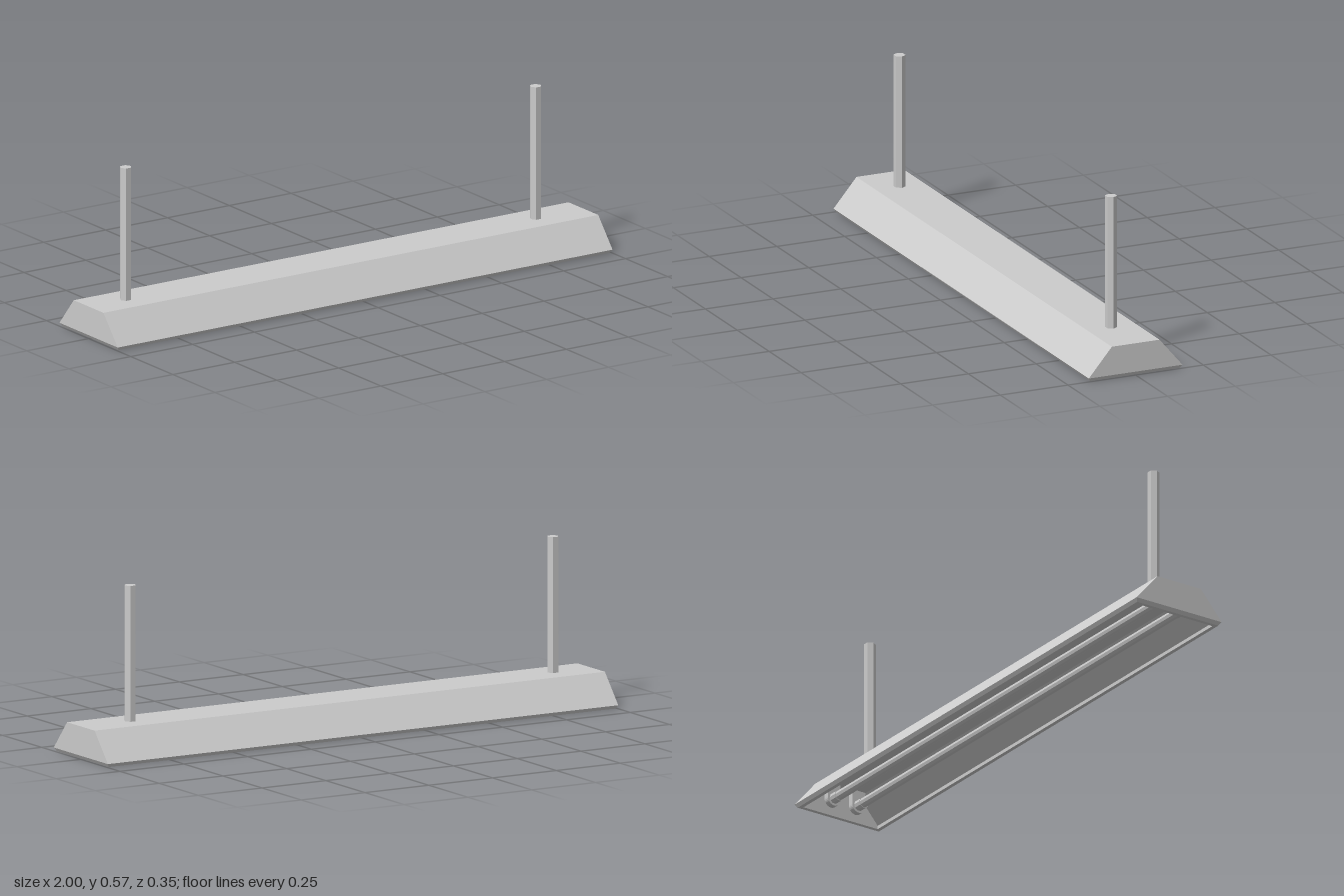
import * as THREE from 'three';

const material = new THREE.MeshStandardMaterial({ color: 0xcccccc, flatShading: true });

function add(parent, name, geometry, x = 0, y = 0, z = 0) {
  const mesh = new THREE.Mesh(geometry, material);
  mesh.name = name;
  mesh.position.set(x, y, z);
  parent.add(mesh);
  return mesh;
}

// Closed skin through rectangular rings [halfX, halfZ, y], capped at both ends
function loftRings(rings) {
  const corners = rings.map(([x, z, y]) => [[x, y, z], [x, y, -z], [-x, y, -z], [-x, y, z]]);
  const points = [];
  const quad = (a, b, c, d) => points.push(...a, ...b, ...c, ...a, ...c, ...d);
  quad(...corners[0]);
  for (let r = 0; r < corners.length - 1; r++) {
    const [a, b] = [corners[r], corners[r + 1]];
    for (let i = 0; i < 4; i++) {
      const j = (i + 1) % 4;
      quad(b[i], b[j], a[j], a[i]);
    }
  }
  quad(...corners[corners.length - 1].slice().reverse());
  const geometry = new THREE.BufferGeometry();
  geometry.setAttribute('position', new THREE.Float32BufferAttribute(points, 3));
  geometry.computeVertexNormals();
  return geometry;
}

// Lamp holder plate with a rounded lower end
function holderGeometry(radius, height, thickness) {
  const shape = new THREE.Shape();
  shape.moveTo(radius, height);
  shape.lineTo(-radius, height);
  shape.lineTo(-radius, 0);
  shape.absarc(0, 0, radius, Math.PI, Math.PI * 2, false);
  const geometry = new THREE.ExtrudeGeometry(shape, {
    depth: thickness, bevelEnabled: false, curveSegments: 8,
  });
  geometry.translate(0, 0, -thickness / 2);
  return geometry.rotateY(Math.PI / 2);
}

export function createModel() {
  const model = new THREE.Group();
  model.name = 'hangingLight';

  // Trapezoid housing: outside, bevelled rim, then the open reflector inside
  add(model, 'housing', loftRings([
    [1, 0.088, 0.112],
    [1, 0.173, 0.012],
    [0.992, 0.165, 0],
    [0.978, 0.151, 0],
    [0.978, 0.151, 0.012],
    [0.978, 0.077, 0.1],
  ]));

  // Hexagonal hanging rods
  const rod = new THREE.CylinderGeometry(0.0205, 0.0205, 0.464, 6, 1, false, Math.PI / 2);
  add(model, 'leftRod', rod, 0.807, 0.342, 0);
  add(model, 'rightRod', rod, -0.85, 0.342, 0);

  // Two lamp tubes with end caps and holders
  const tube = new THREE.CylinderGeometry(0.017, 0.017, 1.9, 10).rotateZ(Math.PI / 2);
  const cap = new THREE.CylinderGeometry(0.019, 0.019, 0.03, 10).rotateZ(Math.PI / 2);
  const holder = holderGeometry(0.026, 0.056, 0.02);
  for (const z of [0.05, -0.05]) {
    const lamp = new THREE.Group();
    lamp.name = z > 0 ? 'frontLamp' : 'backLamp';
    lamp.position.set(0, 0.046, z);
    add(lamp, 'tube', tube);
    for (const side of [1, -1]) {
      add(lamp, 'endCap', cap, side * 0.928);
      add(lamp, 'holder', holder, side * 0.953);
    }
    model.add(lamp);
  }
  return model;
}
